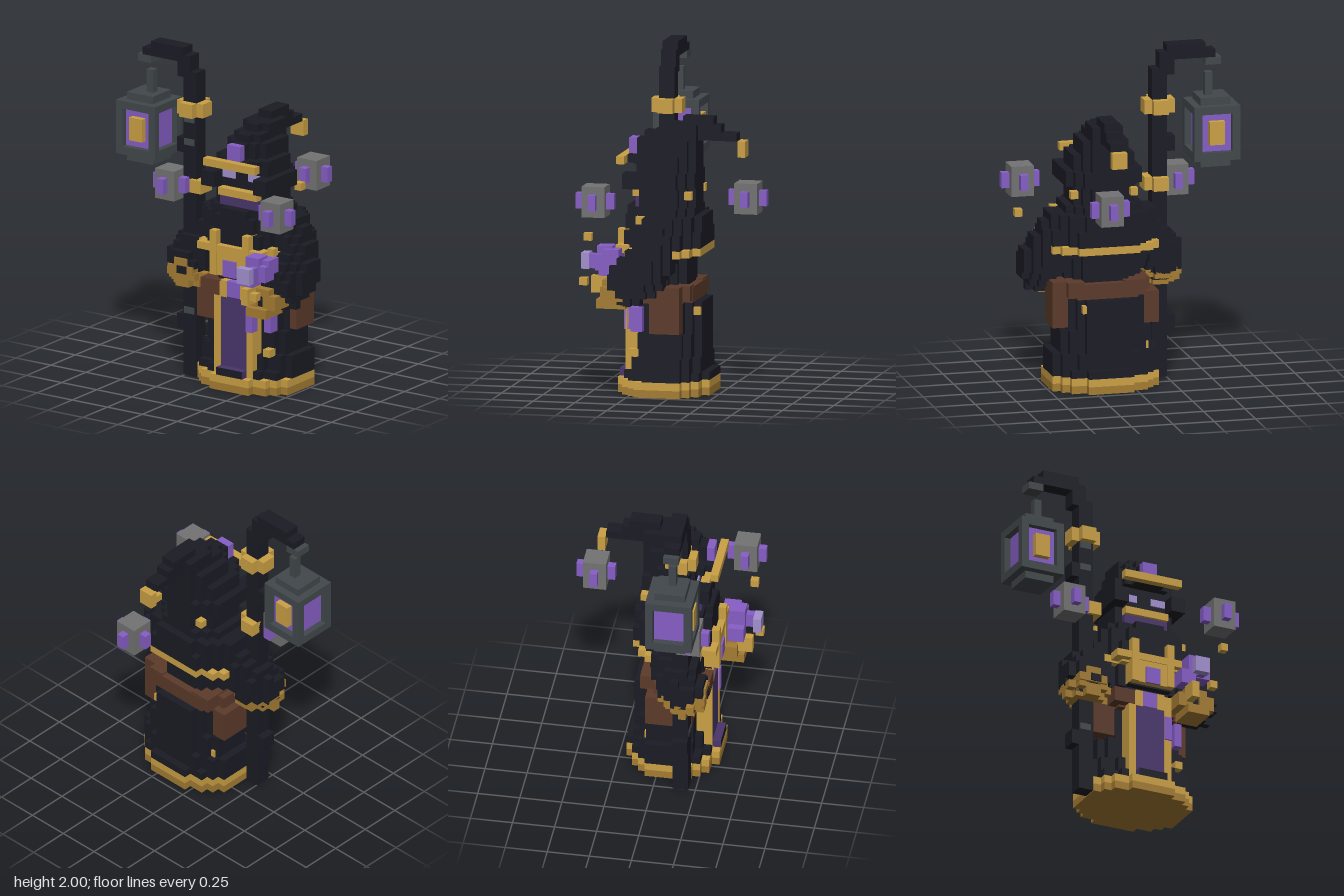
import * as THREE from 'three';

const V = 2 / 43.5;            // cell size
const CX = 0.162, CZ = 0.07;   // centre of the robe

const mat = (name, color) => Object.assign(new THREE.MeshStandardMaterial({ color }), { name });

export function createModel() {
  const M = {
    black: mat('black cloth', 0x1b1b25), gold: mat('gold', 0xcba145), darkGold: mat('dark gold', 0xa57d33),
    purple: mat('purple', 0x865ec6), plum: mat('plum cloth', 0x4a356d), lavender: mat('lavender', 0xa391cf),
    stone: mat('grey stone', 0x737373), iron: mat('iron', 0x42484c), brown: mat('brown leather', 0x5c3a2a),
  };
  const group = new THREE.Group();

  const add = (name, m, geo) => {
    const mesh = new THREE.Mesh(geo, m);
    mesh.name = name;
    group.add(mesh);
    return mesh;
  };
  // Box from its two corners
  const box = (name, m, x0, x1, y0, y1, z0, z1) =>
    add(name, m, new THREE.BoxGeometry(x1 - x0, y1 - y0, z1 - z0))
      .position.set((x0 + x1) / 2, (y0 + y1) / 2, (z0 + z1) / 2);
  // Stepped solid: every cell whose centre passes the rule, outer faces only
  const cells = (name, m, inside, lift = 0) => {
    const pos = [], nor = [];
    const has = (c) => inside(c[0] + 0.5, c[1], c[2] + 0.5);
    for (let i = -13; i < 13; i++) for (let j = 0; j < 37; j++) for (let k = -11; k < 11; k++) {
      const c = [i, j, k];
      if (!has(c)) continue;
      for (let a = 0; a < 3; a++) for (const s of [1, -1]) {
        const n = [...c];
        n[a] += s;
        if (has(n)) continue;
        const u = (a + 1) % 3, w = (a + 2) % 3;
        const q = [[0, 0], [1, 0], [1, 1], [0, 1]].map(([du, dw]) => {
          const p = [...c];
          p[a] += s > 0 ? 1 : 0; p[u] += du; p[w] += dw;
          return [CX + p[0] * V, (p[1] + lift) * V, CZ + p[2] * V];
        });
        for (const t of s > 0 ? [0, 1, 2, 0, 2, 3] : [0, 2, 1, 0, 3, 2]) {
          pos.push(...q[t]);
          nor.push(a === 0 ? s : 0, a === 1 ? s : 0, a === 2 ? s : 0);
        }
      }
    }
    const g = new THREE.BufferGeometry();
    g.setAttribute('position', new THREE.Float32BufferAttribute(pos, 3));
    g.setAttribute('normal', new THREE.Float32BufferAttribute(nor, 3));
    add(name, m, g);
  };
  // Stacked ellipses: [first row, last row, half width, half depth, centre z, centre x]
  const stack = (rows) => (x, y, z) => rows.some(([a, b, hx, hz, zc, xc = 0]) =>
    y >= a && y <= b && ((x - xc) / hx) ** 2 + ((z - zc) / hz) ** 2 < 1.02);

  // Robe and its gold hem
  cells('hemLower', M.darkGold, stack([[0, 0, 7.1, 6.1, 0]]));
  cells('hemUpper', M.gold, stack([[1, 1, 7.1, 6.1, 0]]));
  cells('robe', M.black, stack([
    [2, 2, 7.1, 5.8, -0.2], [3, 4, 7.1, 4.8, -0.5], [5, 7, 6.2, 4.7, -0.5], [8, 11, 5.7, 4.6, -0.5],
    [12, 14, 5.2, 3.7, 0.5], [15, 17, 5.2, 4.1, 1],
  ]));
  cells('belt', M.brown, (x, y, z) => stack([[12, 13, 6, 4.4, 0]])(x, y, z) && !(Math.abs(x) < 3 && z > 3));

  // Shoulder cape with trimmed edge
  cells('capeTrim', M.gold, stack([[18, 18, 7.3, 5.4, 0]]));
  cells('cape', M.black, stack([[19, 20, 7.3, 5.2, 0], [21, 22, 7.1, 5.1, 0], [23, 23, 5.2, 4.4, 0.4]]));
  box('shoulderStud', M.gold, 0.394, 0.438, 1.02, 1.064, 0.162, 0.208);

  // Hood, with the face set back in its opening
  cells('hood', M.black, (x, y, z) => {
    if (Math.abs(x) < 3 && z > 3 && y > 22 && y < 29) return false;
    return stack([
      [23, 25, 4.3, 4.7, 0.4], [26, 27, 5.2, 4.7, 0.4], [28, 29, 4.3, 4.7, 0.4],
      [30, 31, 3.2, 4.2, -0.3], [32, 32, 2.3, 3.6, -1], [33, 33, 2.2, 2.9, -1.7],
    ])(x, y, z) || (y > 25 && y < 28 && Math.abs(x) > 3 && Math.abs(x) < 5 && z > 0 && z < 5);
  }, 0.5);
  // Drooping hood point
  cells('hoodTail', M.black, (x, y, z) => Math.abs(x) < 1 && (
    (y === 34 && z > -6 && z < -2) || (y === 33 && z > -7 && z < -1) || (y === 32 && z > -9 && z < -4)), 0.5);
  box('hoodTip', M.gold, 0.116, 0.208, 1.4, 1.495, -0.396, -0.35);
  box('faceVeil', M.plum, 0.024, 0.3, 1.075, 1.165, 0.18, 0.24);
  box('veilTrim', M.gold, 0.024, 0.3, 1.165, 1.21, 0.18, 0.26);
  box('brow', M.gold, -0.022, 0.346, 1.357, 1.403, 0.299, 0.346);
  box('browGem', M.purple, 0.116, 0.208, 1.403, 1.495, 0.254, 0.3);
  box('gemMount', M.black, 0.116, 0.208, 1.403, 1.495, 0.18, 0.254);
  for (const s of [-1, 1]) {
    box('eye', M.lavender, CX + s * 0.092 - 0.046, CX + s * 0.092 + 0.046, 1.264, 1.308, 0.2, 0.216);
  }
  box('hoodStud', M.gold, 0.34, 0.386, 1.165, 1.21, -0.115, -0.07);
  box('hoodStud', M.gold, -0.02, 0.024, 1.165, 1.21, -0.115, -0.07);

  // Front panel, side bands and chest ornaments
  box('frontPanel', M.plum, 0.07, 0.254, 0.09, 0.57, 0.2, 0.297);
  box('panelFoot', M.plum, 0.07, 0.254, 0.092, 0.138, 0.29, 0.345);
  box('panelTop', M.purple, 0.116, 0.208, 0.565, 0.66, 0.2, 0.3);
  for (const s of [-1, 1]) {
    const a = CX + s * 0.115;
    box('panelBand', M.gold, a - 0.023, a + 0.023, 0.092, 0.65, 0.2, 0.3);
    box('chestBand', M.gold, a - 0.023, a + 0.023, 0.7, 0.97, 0.25, 0.345);
    box('beltClasp', M.gold, CX + s * 0.07 - 0.023, CX + s * 0.07 + 0.023, 0.56, 0.66, 0.2, 0.301);
  }
  box('chestPlate', M.gold, 0.05, 0.275, 0.7, 0.88, 0.25, 0.335);
  box('collarBar', M.gold, -0.07, 0.39, 0.84, 0.885, 0.25, 0.34);
  box('chestGem', M.purple, 0.116, 0.208, 0.7, 0.8, 0.3, 0.346);
  box('ribbon', M.purple, 0.254, 0.3, 0.375, 0.52, 0.25, 0.31);
  box('ribbon', M.purple, 0.346, 0.392, 0.375, 0.52, 0.18, 0.25);

  // Belt pouches
  box('leftPouch', M.brown, 0.32, 0.484, 0.38, 0.655, -0.065, 0.115);
  box('leftPouchStrap', M.brown, 0.3, 0.4, 0.565, 0.655, -0.11, 0.1);
  box('rightPouch', M.brown, -0.16, -0.025, 0.38, 0.57, -0.065, 0.21);
  box('rightPouchStrap', M.brown, -0.07, 0.062, 0.565, 0.655, -0.11, 0.303);

  // Sleeves: cells within a radius of a bent line
  const sleeve = (name, pts, r) => {
    const line = pts.slice(1).map((p, i) => new THREE.Line3(new THREE.Vector3(...pts[i]), new THREE.Vector3(...p)));
    const p = new THREE.Vector3(), q = new THREE.Vector3();
    cells(name, M.black, (x, y, z) => {
      p.set(CX + x * V, (y + 0.5) * V, CZ + z * V);
      return line.some((l) => l.closestPointToPoint(p, true, q).distanceTo(p) < r);
    });
  };
  sleeve('rightSleeve', [[-0.06, 0.92, 0.07], [-0.19, 0.77, 0.14], [-0.21, 0.72, 0.17]], 0.135);
  sleeve('leftSleeve', [[0.41, 0.91, 0.07], [0.49, 0.75, 0.14], [0.47, 0.68, 0.23]], 0.135);
  // Right cuff and hand, around the staff
  cells('rightCuff', M.darkGold, stack([[12, 12, 2.6, 2.4, 2.5, -8], [13, 13, 3.1, 2.9, 2.3, -8]]), 0.4);
  box('rightCuffTop', M.darkGold, -0.3, -0.122, 0.65, 0.7, 0.2, 0.312);
  box('rightCuffTop', M.darkGold, -0.255, -0.165, 0.7, 0.745, 0.22, 0.312);
  box('rightHand', M.black, -0.23, -0.165, 0.655, 0.7, 0.28, 0.32);
  // Left cuff as an open ring with the hand inside
  box('leftCuffTop', M.darkGold, 0.346, 0.484, 0.645, 0.69, 0.3, 0.4);
  box('leftCuffBottom', M.darkGold, 0.346, 0.484, 0.52, 0.575, 0.26, 0.435);
  for (const x of [0.3, 0.438]) box('leftCuffSide', M.darkGold, x, x + 0.092, 0.57, 0.655, 0.26, 0.4);
  box('leftCuffKnob', M.gold, 0.346, 0.392, 0.6, 0.7, 0.39, 0.485);
  box('leftHand', M.black, 0.39, 0.44, 0.57, 0.65, 0.3, 0.38);

  // Crystal cluster over the left hand
  box('crystal', M.purple, 0.346, 0.484, 0.745, 0.84, 0.3, 0.44);
  box('crystal', M.purple, 0.392, 0.438, 0.75, 0.835, 0.4, 0.488);
  box('crystal', M.purple, 0.3, 0.392, 0.7, 0.79, 0.345, 0.44);
  box('crystal', M.purple, 0.346, 0.438, 0.79, 0.885, 0.345, 0.44);
  box('crystal', M.purple, 0.392, 0.484, 0.8, 0.87, 0.3, 0.4);
  box('crystalGlow', M.lavender, 0.346, 0.438, 0.745, 0.84, 0.488, 0.535);
  box('spark', M.gold, 0.44, 0.486, 0.655, 0.7, 0.487, 0.535);
  box('spark', M.gold, 0.535, 0.578, 0.935, 0.98, 0.44, 0.487);
  // Small studs on the robe
  for (const [x, y, z] of [[0.37, 0.25, 0.23], [0.3, 0.5, -0.125], [0.05, 0.52, -0.125], [-0.07, 0.25, -0.05]]) {
    box('stud', M.gold, x - 0.023, x + 0.023, y - 0.023, y + 0.023, z - 0.03, z + 0.03);
  }

  // Staff with hooked top
  box('staff', M.black, -0.257, -0.165, 0, 1.86, 0.116, 0.208);
  box('staffBend', M.black, -0.3, -0.21, 1.82, 1.955, 0.116, 0.208);
  box('staffTop', M.black, -0.49, -0.257, 1.91, 2, 0.116, 0.208);
  box('staffTip', M.black, -0.55, -0.45, 1.91, 1.955, 0.116, 0.208);
  box('staffHook', M.iron, -0.583, -0.49, 1.865, 1.91, 0.116, 0.208);
  box('staffKnot', M.black, -0.303, -0.25, 0.28, 0.37, 0.116, 0.208);
  box('staffKnot', M.black, -0.303, -0.25, 1.36, 1.45, 0.116, 0.208);
  for (const y of [0.4, 1.43, 1.57]) box('staffNick', M.iron, -0.25, -0.18, y - 0.02, y + 0.02, 0.15, 0.212);
  box('staffRing', M.gold, -0.303, -0.12, 1.59, 1.675, 0.116, 0.208);
  box('staffRing', M.gold, -0.257, -0.165, 1.59, 1.675, 0.07, 0.254);
  box('lowerRing', M.gold, -0.2, -0.12, 1.13, 1.21, 0.116, 0.23);
  box('lowerRing', M.gold, -0.257, -0.165, 1.13, 1.21, 0.07, 0.2);

  // Lantern: open iron cage, glass core and flame
  const LX = -0.537, LY = 1.47, LZ = 0.162, H = 0.138, T = 0.046;
  const around = (name, m, hx, y0, y1, hz) => box(name, m, LX - hx, LX + hx, y0, y1, LZ - hz, LZ + hz);
  around('lanternCap', M.iron, 0.092, 1.63, 1.677, 0.092);
  around('lanternTop', M.iron, H, LY + 0.115, 1.632, H);
  around('lanternFloor', M.iron, H, 1.305, LY - 0.115, H);
  around('lanternFoot', M.iron, 0.092, 1.26, 1.305, 0.092);
  box('lanternHandle', M.iron, -0.537, -0.491, 1.677, 1.815, 0.139, 0.185);
  around('lanternGlass', M.purple, 0.1, LY - 0.115, LY + 0.115, 0.1);
  around('lanternFlame', M.gold, 0.046, LY - 0.07, LY + 0.07, 0.137);
  for (const sx of [-1, 1]) for (const sz of [-1, 1]) {
    const x = LX + sx * (H - T / 2), z = LZ + sz * (H - T / 2);
    box('lanternPost', M.iron, x - T / 2, x + T / 2, LY - 0.115, LY + 0.115, z - T / 2, z + T / 2);
  }

  // Floating stones with a purple panel on each side
  for (const [x, z] of [[-0.33, 0.231], [0.556, 0.42], [0.231, -0.422]]) {
    box('floatingStone', M.stone, x - 0.069, x + 0.069, 1.08, 1.262, z - 0.069, z + 0.069);
    box('stonePanel', M.purple, x - 0.115, x + 0.115, 1.125, 1.217, z - 0.023, z + 0.023);
    box('stonePanel', M.purple, x - 0.023, x + 0.023, 1.125, 1.217, z - 0.115, z + 0.115);
  }
  return group;
}
